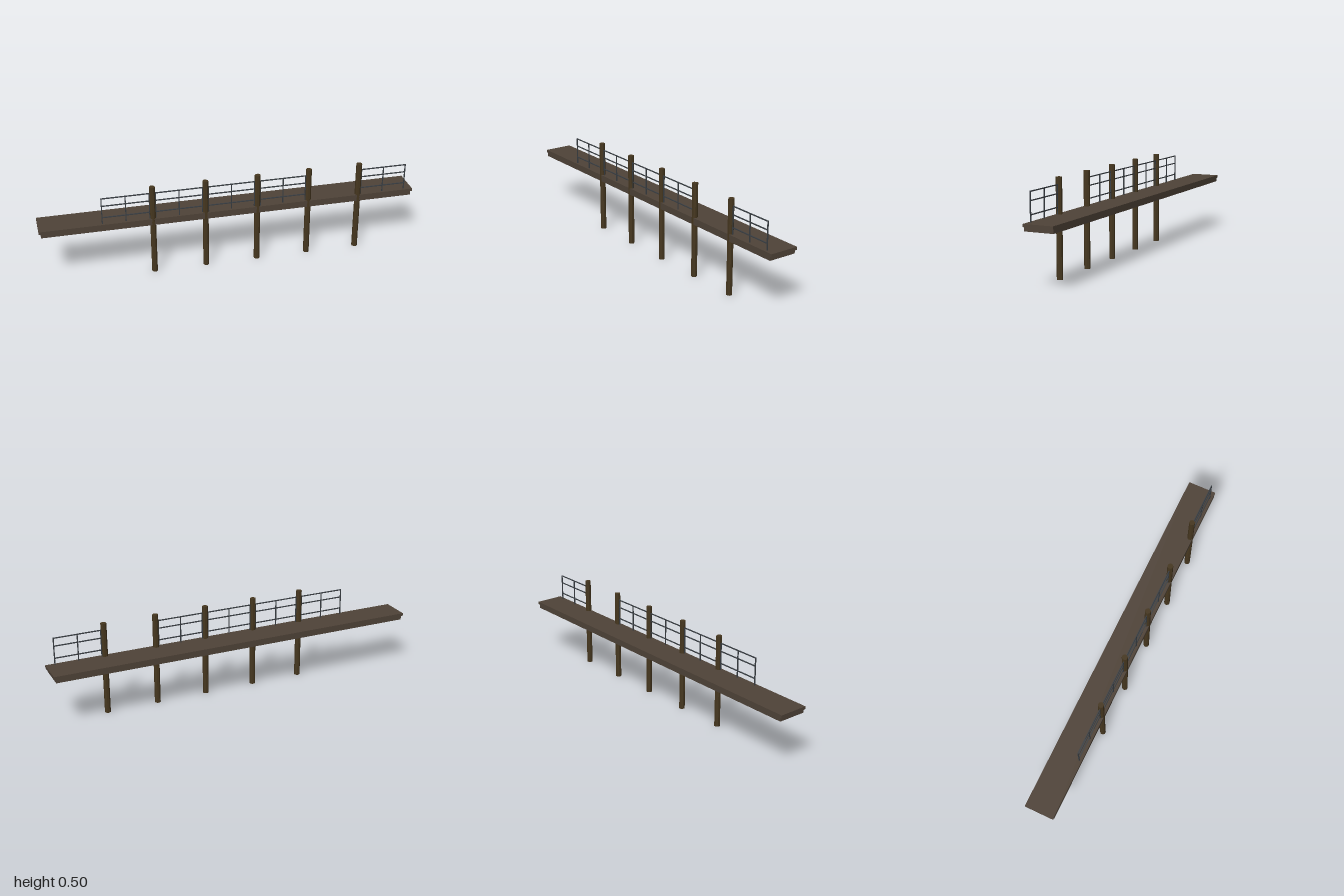
import * as THREE from 'three';

const deckWood = new THREE.MeshStandardMaterial({ color: 0x4f4338 });
const pileWood = new THREE.MeshStandardMaterial({ color: 0x46371f, flatShading: true });
const metal = new THREE.MeshStandardMaterial({ color: 0x3a3f44 });

const SPACING = 0.277;  // distance between piles
const LINE_Z = 0.064;   // piles and railings share this line
const DECK_TOP = 0.317;
const RAIL_TOP = 0.462;

function addBox(parent, name, material, size, position) {
  const mesh = new THREE.Mesh(new THREE.BoxGeometry(...size), material);
  mesh.name = name;
  mesh.position.set(...position);
  parent.add(mesh);
}

// One railing section: three posts and three rails
function createRailing(x) {
  const railing = new THREE.Group();
  railing.name = 'railing';
  const half = 0.1225, t = 0.005;
  const height = RAIL_TOP - DECK_TOP;
  for (const px of [-half, 0, half]) {
    addBox(railing, 'railingPost', metal, [t, height, t], [px, DECK_TOP + height / 2, 0]);
  }
  for (const y of [0.352, 0.417, RAIL_TOP - t / 2]) {
    addBox(railing, 'rail', metal, [2 * half + t, t, t], [0, y, 0]);
  }
  railing.position.set(x, 0, LINE_Z);
  return railing;
}

export function createModel() {
  const pier = new THREE.Group();
  pier.name = 'pier';

  // Walkway with a slightly smaller beam underneath
  addBox(pier, 'deck', deckWood, [2, 0.015, 0.156], [0, 0.3095, 0]);
  addBox(pier, 'deckBeam', deckWood, [1.98, 0.021, 0.152], [0, 0.2915, 0.001]);

  // Octagonal piles along the front edge
  const pileGeometry = new THREE.CylinderGeometry(0.0155, 0.0155, 0.496, 8);
  pileGeometry.rotateY(Math.PI / 8);
  for (let i = 0; i < 5; i++) {
    const pile = new THREE.Mesh(pileGeometry, pileWood);
    pile.name = 'pile';
    pile.position.set((i - 1.5) * SPACING, 0.248, LINE_Z);
    pier.add(pile);
  }

  // Railings between the piles, leaving one bay open
  for (const bay of [-2, -1, 0, 1, 3]) pier.add(createRailing(bay * SPACING));

  return pier;
}
